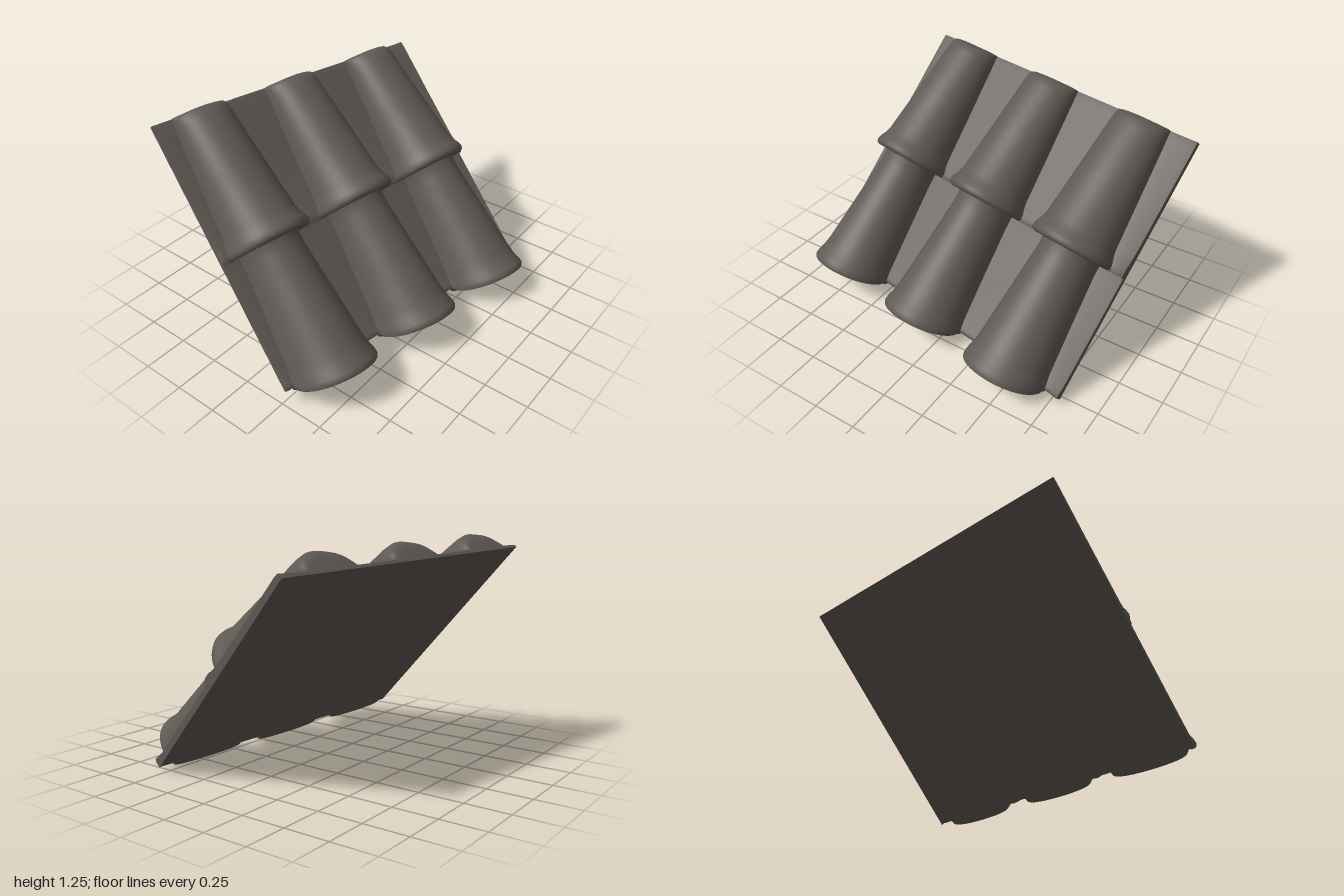
import * as THREE from 'three';
import { toCreasedNormals } from 'three/addons/utils/BufferGeometryUtils.js';

// Slope frame: origin at the upper front corner, u down the slope, v across it, n out of it
const origin = new THREE.Vector3(-0.76, 1.19, 0.8);
const u = new THREE.Vector3(0.68, -0.72, 0.127).normalize();
const v = new THREE.Vector3(0.149, -0.0387, -0.988).normalize();
const n = new THREE.Vector3().crossVectors(u, v).normalize();

const WIDTH = 1.81;
const CENTRES = [0.275, 0.88, 1.485];
const ARC = 28;

// Cross-sections down the slope:
// [distance, barrel height, barrel half width, pan height, extra reach of barrel]
const ROWS = [
  [0.0, 0.0, 0.16, 0.0, 0.0],
  [0.0, 0.07, 0.16, 0.02, 0.0],
  [0.01, 0.13, 0.16, 0.022, 0.0],
  [0.035, 0.16, 0.163, 0.024, 0.0],
  [0.08, 0.174, 0.167, 0.024, 0.0],
  [0.38, 0.225, 0.19, 0.026, 0.0],
  [0.68, 0.277, 0.213, 0.03, 0.0],
  [0.72, 0.29, 0.222, 0.036, 0.0],
  [0.75, 0.308, 0.234, 0.04, 0.0],
  [0.775, 0.315, 0.24, 0.04, 0.0],
  [0.795, 0.308, 0.238, 0.038, 0.0],
  [0.803, 0.288, 0.226, 0.034, 0.0],
  [0.795, 0.262, 0.2, 0.028, 0.0],
  [0.79, 0.24, 0.178, 0.024, 0.0],
  [0.82, 0.232, 0.172, 0.022, 0.0],
  [0.88, 0.232, 0.174, 0.022, 0.0],
  [1.15, 0.257, 0.196, 0.024, 0.0],
  [1.42, 0.283, 0.22, 0.026, 0.02],
  [1.46, 0.295, 0.228, 0.03, 0.045],
  [1.485, 0.312, 0.235, 0.034, 0.06],
  [1.5, 0.316, 0.237, 0.034, 0.07],
  [1.508, 0.306, 0.236, 0.028, 0.075],
  [1.508, 0.28, 0.233, 0.02, 0.065],
  [1.503, 0.23, 0.231, 0.015, 0.045],
  [1.5, 0.12, 0.231, 0.01, 0.04],
  [1.5, 0.0, 0.231, 0.0, 0.05],
];

// One cross-section: flat pans joined by rounded barrels, closed down to the underside at both sides
function section([s, height, half, pan, reach]) {
  const pts = [];
  const add = (t, h, ds = 0) => pts.push(
    origin.clone().addScaledVector(u, s + ds).addScaledVector(v, t).addScaledVector(n, h));
  add(0, 0);
  add(0, pan * 0.8);
  for (const c of CENTRES) {
    add(c - half - 0.025, pan);
    for (let i = 0; i <= ARC; i++) {
      const a = Math.PI * i / ARC;
      const rise = Math.max(0, Math.sin(a));
      add(c - half * Math.cos(a), pan + (height - pan) * Math.pow(rise, 0.9), reach * Math.sqrt(rise));
    }
    add(Math.min(c + half + 0.025, WIDTH - 0.04), pan);
  }
  add(WIDTH - 0.025, pan * 1.3);
  add(WIDTH, pan * 1.5);
  add(WIDTH, 0);
  return pts;
}

// Skin the sections; the last joins the first to form the flat underside
function skin(sections) {
  const cols = sections[0].length;
  const rows = sections.length;
  const index = [];
  for (let i = 0; i < rows; i++) {
    for (let j = 0; j < cols - 1; j++) {
      const a = i * cols + j;
      const b = ((i + 1) % rows) * cols + j;
      index.push(a, b, b + 1, a, b + 1, a + 1);
    }
  }
  const geometry = new THREE.BufferGeometry().setFromPoints(sections.flat());
  geometry.setIndex(index);
  return toCreasedNormals(geometry, 0.95);
}

export function createModel() {
  const group = new THREE.Group();
  group.name = 'roofTilePanel';
  const clay = new THREE.MeshStandardMaterial({ color: 0x5e5954 });
  clay.name = 'dark grey clay';
  const tiles = new THREE.Mesh(skin(ROWS.map(section)), clay);
  tiles.name = 'barrelTiles';
  group.add(tiles);
  return group;
}
